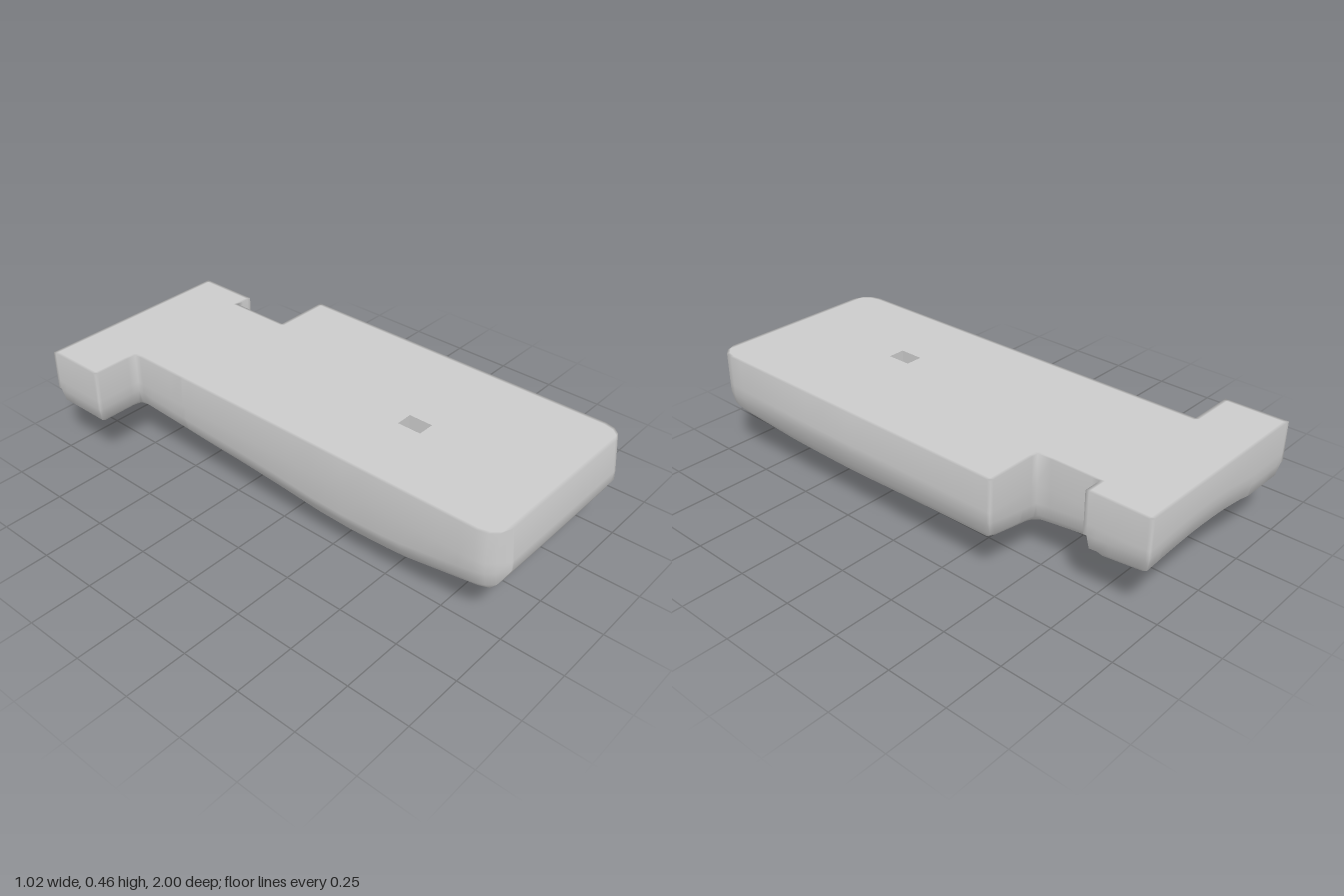
import * as THREE from 'three';

const TOP = 0.465;
// plan outline (x, z), walked once around
const OUTLINE = [[-0.51, -1], [0.335, -1], [0.335, -0.74], [0.26, -0.74], [0.26, -0.48], [0.5, -0.48],
  [0.5, 0.985], [-0.31, 0.985], [-0.31, -0.74], [-0.51, -0.74]];
// grid lines, closer together near the edges
const XS = [-0.51, -0.495, -0.46, -0.41, -0.35, -0.31, -0.295, -0.265, -0.22, -0.14, -0.07, 0, 0.07, 0.13,
  0.19, 0.225, 0.248, 0.26, 0.29, 0.32, 0.335, 0.37, 0.42, 0.46, 0.485, 0.5];
const ZS = [-1, -0.985, -0.95, -0.9, -0.84, -0.79, -0.755, -0.74, -0.71, -0.66, -0.6, -0.54, -0.48, -0.465,
  -0.43, -0.38, -0.3, -0.2, -0.1, 0, 0.1, 0.2, 0.27, 0.34, 0.44, 0.52, 0.6, 0.68, 0.76, 0.84, 0.9, 0.94,
  0.968, 0.985];
const HOLE = { x0: 0, x1: 0.07, z0: 0.34, z1: 0.44, floor: 0.03 };

// belly across the width, and its strength along the length
const ACROSS = [[-0.31, 0], [-0.27, 0.3], [-0.21, 0.55], [-0.14, 0.8], [-0.04, 0.985], [0.07, 0.985],
  [0.18, 0.83], [0.3, 0.55], [0.42, 0.25], [0.5, 0]];
const ALONG = [[-1, -0.18], [-0.8, 0.02], [-0.6, 0.17], [-0.4, 0.36], [-0.2, 0.5], [0, 0.7], [0.2, 0.95],
  [0.35, 1], [0.5, 0.93], [0.6, 0.82], [0.8, 0.36], [0.93, 0.05], [1, 0]];
// narrowing of the plan at the front corners
const INSET = [[0.9, 0], [0.94, 0.01], [0.968, 0.035], [0.985, 0.075]];

function sample(table, t) {
  if (t <= table[0][0]) return table[0][1];
  for (let i = 1; i < table.length; i++) {
    const [a, va] = table[i - 1], [b, vb] = table[i];
    if (t <= b) return va + (vb - va) * (t - a) / (b - a);
  }
  return table[table.length - 1][1];
}

function edgeDistance(x, z) {
  let best = Infinity;
  OUTLINE.forEach(([ax, az], i) => {
    const [bx, bz] = OUTLINE[(i + 1) % OUTLINE.length];
    const dx = bx - ax, dz = bz - az;
    const t = THREE.MathUtils.clamp(((x - ax) * dx + (z - az) * dz) / (dx * dx + dz * dz), 0, 1);
    best = Math.min(best, Math.hypot(x - ax - t * dx, z - az - t * dz));
  });
  return best;
}

function inside(i, j) {
  if (i < 0 || j < 0 || i >= XS.length - 1 || j >= ZS.length - 1) return false;
  const x = (XS[i] + XS[i + 1]) / 2, z = (ZS[j] + ZS[j + 1]) / 2;
  if (z < -0.74) return x < 0.335;
  return x > -0.31 && x < (z < -0.48 ? 0.26 : 0.5);
}

// underside: flat floor, belly bulge and rounded rim
function underside(x, z) {
  const w = sample(ALONG, z);
  const k = Math.max(0, 1 - edgeDistance(x, z) / 0.08);
  const rim = x < -0.2 && z > -0.7 ? 0.1 - 0.07 * Math.max(w, 0) : 0.1;
  return 0.2 - 0.197 * w * sample(ACROSS, x) + rim * (1 - Math.sqrt(1 - k * k));
}

function bodyGeometry() {
  const pos = [], index = [], ids = new Map();
  // layer 0 = top, 1 = middle of the wall, 2 = underside
  const vert = (i, j, layer) => {
    const key = `${i},${j},${layer}`;
    if (!ids.has(key)) {
      let x = XS[i], z = ZS[j];
      const low = underside(x, z);
      const y = layer === 0 ? TOP : layer === 1 ? Math.max(0.34, low + 0.03) : low;
      const inset = sample(INSET, z);
      x = 0.095 + (x - 0.095) * (1 - inset / 0.405);
      if (layer > 0) {
        if (XS[i] === 0.5) x += 0.01 * Math.max(sample(ALONG, z), 0);
        if (j === ZS.length - 1) z += 0.015;
      }
      ids.set(key, pos.length / 3);
      pos.push(x, y, z);
    }
    return ids.get(key);
  };
  const quad = (a, b, c, d) => index.push(a, b, c, a, c, d);

  for (let i = 0; i < XS.length - 1; i++) {
    for (let j = 0; j < ZS.length - 1; j++) {
      if (!inside(i, j)) continue;
      const c = [[i, j], [i, j + 1], [i + 1, j + 1], [i + 1, j]];
      const hole = XS[i] === HOLE.x0 && ZS[j] === HOLE.z0;
      if (!hole) quad(...c.map(p => vert(...p, 0)));
      quad(...c.slice().reverse().map(p => vert(...p, 2)));
      // side walls where the neighbouring cell is empty
      [[-1, 0], [0, 1], [1, 0], [0, -1]].forEach(([di, dj], n) => {
        if (inside(i + di, j + dj)) return;
        const a = c[n], b = c[(n + 1) % 4];
        for (let l = 0; l < 2; l++) quad(vert(...b, l), vert(...a, l), vert(...a, l + 1), vert(...b, l + 1));
      });
    }
  }
  const geo = new THREE.BufferGeometry();
  geo.setAttribute('position', new THREE.Float32BufferAttribute(pos, 3));
  geo.setIndex(index);
  geo.computeVertexNormals();
  return geo;
}

// open-topped box turned inside out
function socketGeometry() {
  const h = TOP - HOLE.floor;
  const geo = new THREE.BoxGeometry(HOLE.x1 - HOLE.x0, h, HOLE.z1 - HOLE.z0);
  const faces = Array.from(geo.index.array).filter((_, k) => k < 12 || k >= 18);
  geo.clearGroups();
  geo.setIndex(faces.reverse());
  geo.computeVertexNormals();
  geo.translate((HOLE.x0 + HOLE.x1) / 2, HOLE.floor + h / 2, (HOLE.z0 + HOLE.z1) / 2);
  return geo;
}

export function createModel() {
  const group = new THREE.Group();
  const material = new THREE.MeshStandardMaterial({ color: 0xcccccc });
  const add = (name, geo) => {
    const mesh = new THREE.Mesh(geo, material);
    mesh.name = name;
    group.add(mesh);
  };
  add('body', bodyGeometry());
  add('squareSocket', socketGeometry());
  return group;
}
